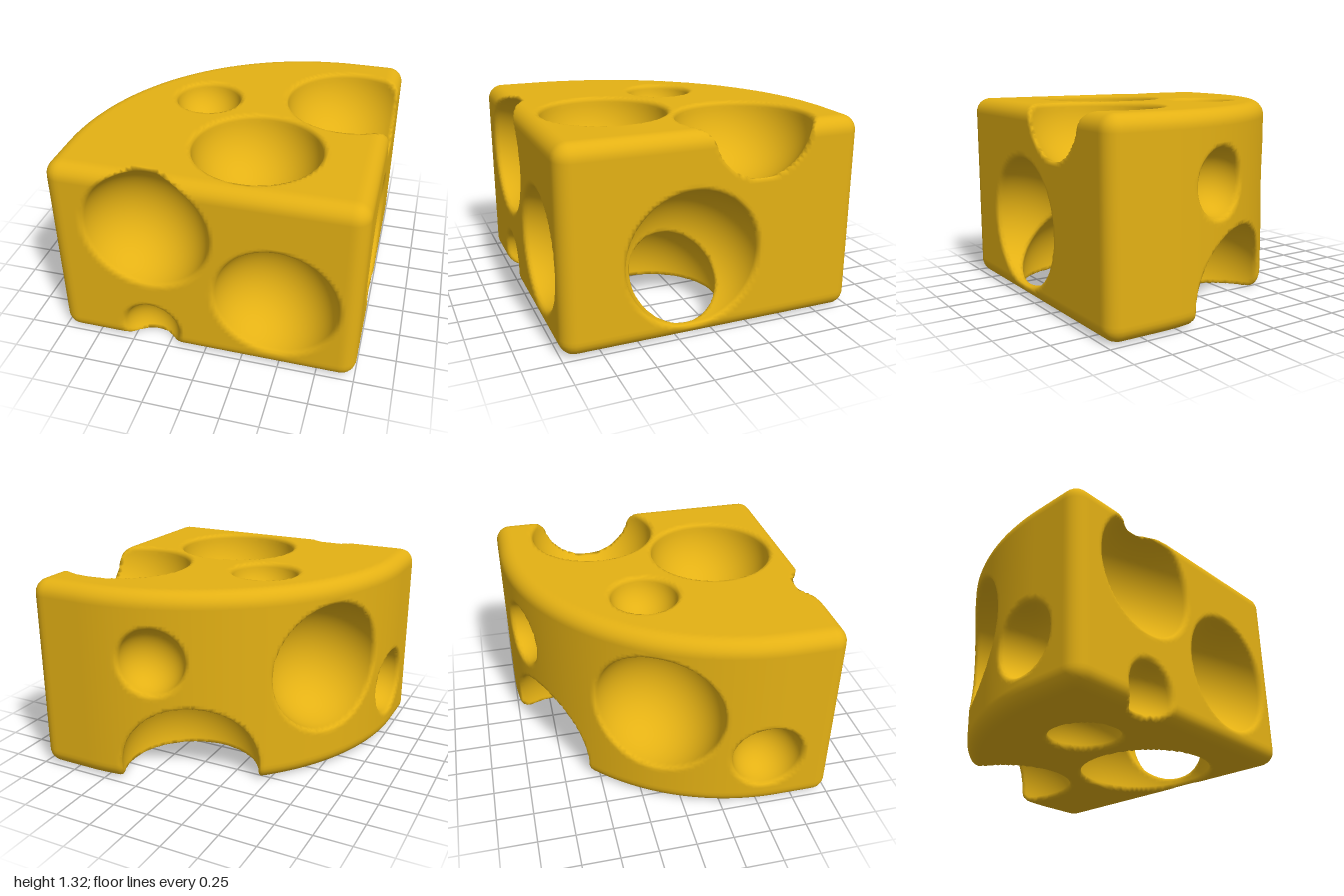
import * as THREE from 'three';

const HEIGHT = 1.32, EDGE = 0.1, ARC_CENTRE = 0.64, ARC_RADIUS = 1.64, RIM = 0.035;

// Spherical holes: x, y, z, radius
const HOLES = [
  // top
  [-0.27, 1.32, -0.125, 0.22], [0.22, 1.32, 0.46, 0.415], [0.7, 1.325, -0.31, 0.435],
  // front
  [-0.36, 0.925, 1.06, 0.415], [0.47, 0.525, 1.06, 0.405], [-0.365, 0.13, 1.03, 0.197],
  // right side
  [1, 0.52, 0.15, 0.44],
  // underside
  [0.475, 0.09, 0.23, 0.458], [-0.33, 0.04, 0.41, 0.235], [0, 0.11, -0.69, 0.46],
  // curved rind
  [-0.77, 0.725, -0.155, 0.437], [0.15, 0.86, -0.92, 0.22], [-0.99, 0.405, 0.545, 0.235],
];

// Signed distance to the rounded wedge (negative inside)
function wedge(x, y, z) {
  // The rind is an arc that runs straight on to the cut faces
  const rind = Math.hypot(Math.max(ARC_CENTRE - x, 0), Math.max(ARC_CENTRE - z, 0)) - ARC_RADIUS;
  const d = [x - 1, z - 1, rind, Math.abs(y - HEIGHT / 2) - HEIGHT / 2].map((v) => v + EDGE);
  return Math.min(Math.max(...d), 0) + Math.hypot(...d.map((v) => Math.max(v, 0))) - EDGE;
}

// Wedge with the holes scooped out, rims slightly softened
function cheese(x, y, z) {
  let d = wedge(x, y, z);
  for (const [cx, cy, cz, r] of HOLES) {
    const hole = r - Math.hypot(x - cx, y - cy, z - cz);
    const blend = Math.max(RIM - Math.abs(d - hole), 0);
    d = Math.max(d, hole) + (blend * blend) / (4 * RIM);
  }
  return d;
}

function gradient(p) {
  const e = 0.004, [x, y, z] = p;
  return [
    (cheese(x + e, y, z) - cheese(x - e, y, z)) / (2 * e),
    (cheese(x, y + e, z) - cheese(x, y - e, z)) / (2 * e),
    (cheese(x, y, z + e) - cheese(x, y, z - e)) / (2 * e),
  ];
}

// Skin a signed distance: one vertex per crossed cell, one quad per crossed grid edge
function skin(min, size, step) {
  const n = size.map((s) => Math.ceil(s / step) + 1);
  const stride = [1, n[0], n[0] * n[1]];
  const value = new Float32Array(n[0] * n[1] * n[2]);
  const cell = new Int32Array(value.length).fill(-1);
  const positions = [], normals = [], index = [];

  const eachPoint = (visit) => {
    for (let k = 0; k < n[2]; k++)
      for (let j = 0; j < n[1]; j++)
        for (let i = 0; i < n[0]; i++) visit([i, j, k], i + j * stride[1] + k * stride[2]);
  };
  const place = (g) => g.map((v, a) => min[a] + v * step);

  eachPoint((g, id) => { value[id] = cheese(...place(g)); });

  eachPoint((g, id) => {
    if (g.some((v, a) => v >= n[a] - 1)) return;
    // Average the crossings on the twelve edges of the cell
    const sum = [0, 0, 0];
    let count = 0;
    for (let a = 0; a < 3; a++) {
      const b = (a + 1) % 3, c = (a + 2) % 3;
      for (let q = 0; q < 4; q++) {
        const u = q & 1, w = q >> 1;
        const start = id + u * stride[b] + w * stride[c];
        const v0 = value[start], v1 = value[start + stride[a]];
        if (v0 < 0 === v1 < 0) continue;
        sum[a] += v0 / (v0 - v1);
        sum[b] += u;
        sum[c] += w;
        count++;
      }
    }
    if (!count) return;
    let p = place(g.map((v, a) => v + sum[a] / count));
    // Pull the vertex onto the true surface
    for (let s = 0; s < 3; s++) {
      const d = cheese(...p), grad = gradient(p);
      const len2 = Math.max(grad[0] ** 2 + grad[1] ** 2 + grad[2] ** 2, 0.3);
      const move = THREE.MathUtils.clamp(d / len2, -step / 2, step / 2);
      p = p.map((v, a) => v - move * grad[a]);
    }
    cell[id] = positions.length / 3;
    positions.push(...p);
    normals.push(...new THREE.Vector3(...gradient(p)).normalize().toArray());
  });

  eachPoint((g, id) => {
    for (let a = 0; a < 3; a++) {
      const b = (a + 1) % 3, c = (a + 2) % 3;
      if (g[a] >= n[a] - 1 || !g[b] || !g[c]) continue;
      const inside = value[id] < 0;
      if (inside === value[id + stride[a]] < 0) continue;
      const quad = [id - stride[b] - stride[c], id - stride[c], id, id - stride[b]].map((q) => cell[q]);
      if (!inside) quad.reverse();
      index.push(quad[0], quad[1], quad[2], quad[0], quad[2], quad[3]);
    }
  });

  const geometry = new THREE.BufferGeometry();
  geometry.setAttribute('position', new THREE.Float32BufferAttribute(positions, 3));
  geometry.setAttribute('normal', new THREE.Float32BufferAttribute(normals, 3));
  geometry.setIndex(index);
  return geometry;
}

export function createModel() {
  const group = new THREE.Group();
  group.name = 'cheese';
  const material = new THREE.MeshStandardMaterial({ color: 0xe4b114 });
  const body = new THREE.Mesh(skin([-1.05, -0.05, -1.05], [2.1, HEIGHT + 0.1, 2.1], 0.025), material);
  body.name = 'cheeseWedge';
  group.add(body);
  return group;
}
